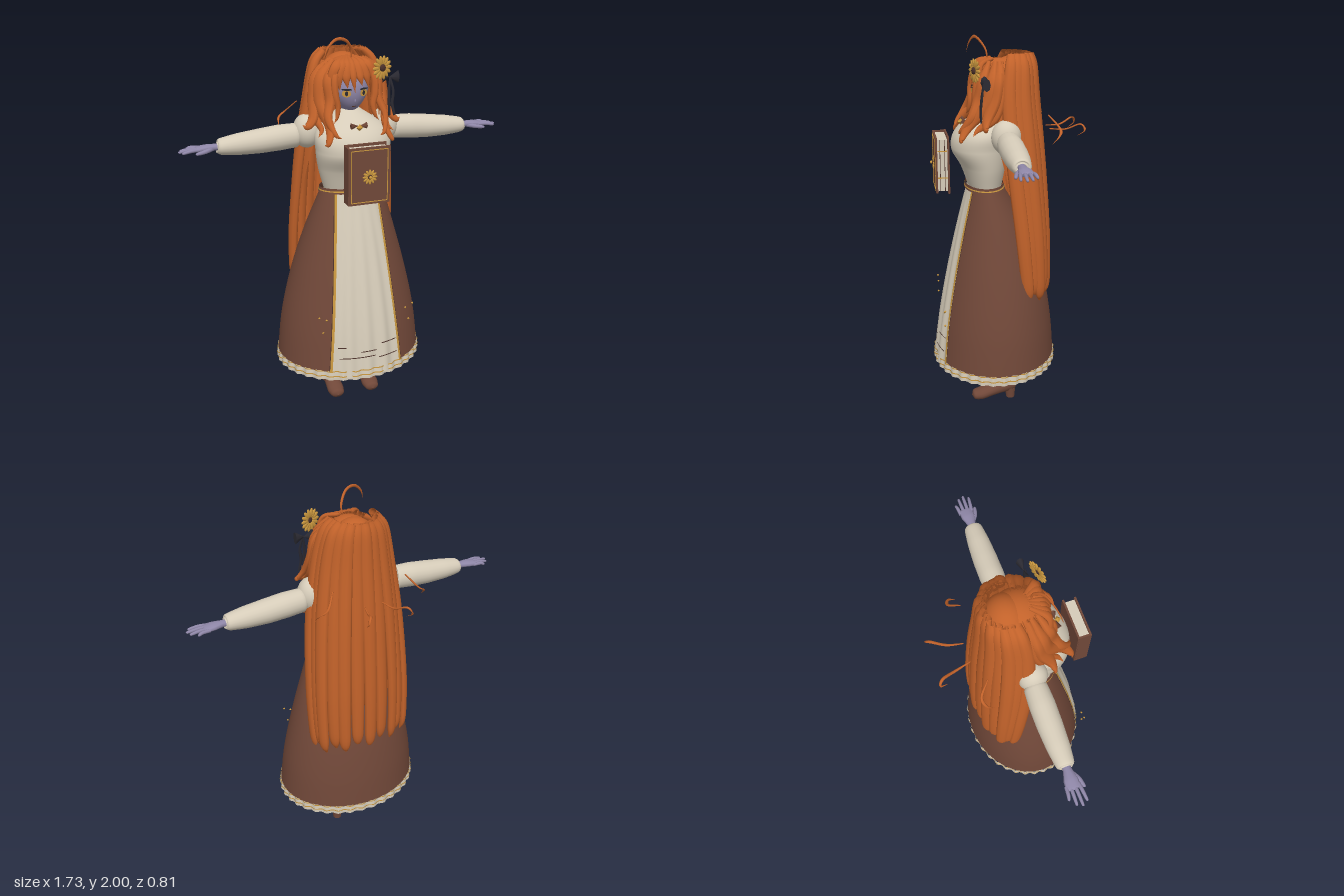
import * as THREE from 'three';
import { ParametricGeometry } from 'three/addons/geometries/ParametricGeometry.js';

const mat = (name, color, side = THREE.DoubleSide) => {
  const m = new THREE.MeshStandardMaterial({ color, side });
  m.name = name;
  return m;
};
const V = (x, y, z) => new THREE.Vector3(x, y, z);
const lerp = THREE.MathUtils.lerp;
// linear lookup in a short list
const pick = (list, t) => {
  const f = t * (list.length - 1), i = Math.min(Math.floor(f), list.length - 2);
  return lerp(list[i], list[i + 1], f - i);
};

// tapered oval tube along a curve; "out" is the direction its flat side faces
function strand(pts, widths, depths, out = V(0, 0, 1), rows = 24, sides = 10) {
  const curve = new THREE.CatmullRomCurve3(pts.map(p => V(...p)), false, 'catmullrom', 0.5);
  const pos = [], index = [];
  for (let i = 0; i <= rows; i++) {
    const t = i / rows, p = curve.getPoint(t), T = curve.getTangent(t);
    const side = out.clone().cross(T).normalize(), up = T.clone().cross(side);
    for (let j = 0; j < sides; j++) {
      const a = j / sides * Math.PI * 2;
      const q = p.clone().addScaledVector(side, Math.cos(a) * pick(widths, t))
        .addScaledVector(up, Math.sin(a) * pick(depths, t));
      pos.push(q.x, q.y, q.z);
      if (i === rows) continue;
      const A = i * sides + j, B = i * sides + (j + 1) % sides;
      index.push(A, B, A + sides, B, B + sides, A + sides);
    }
  }
  const g = new THREE.BufferGeometry();
  g.setAttribute('position', new THREE.Float32BufferAttribute(pos, 3));
  g.setIndex(index);
  g.computeVertexNormals();
  return g;
}

// oval cross-sections [halfWidth, frontZ, backZ] at evenly spaced heights
function ovalBody(y0, y1, rows) {
  const c = new THREE.CatmullRomCurve3(rows.map(r => V(...r)), false, 'catmullrom', 0.5);
  const at = y => c.getPoint(THREE.MathUtils.clamp((y - y0) / (y1 - y0), 0, 1));
  const point = (a, y, off, target) => {
    const r = at(y), zc = (r.y + r.z) / 2, b = (r.y - r.z) / 2;
    return target.set(Math.sin(a) * (r.x + off), y, zc + Math.cos(a) * (b + off));
  };
  return { at, point };
}
const skirt = ovalBody(0.24, 1.24, [[.403, .4, -.27], [.375, .367, -.25], [.32, .322, -.205], [.247, .268, -.12], [.165, .205, .02]]);
const torso = ovalBody(1.24, 1.64, [[.15, .2, .02], [.178, .235, 0], [.195, .285, -.015], [.185, .25, -.02], [.05, .11, .01]]);
// patch of an oval body between two angles (numbers or functions of y) and heights
function patch(body, a0, a1, y0, y1, off, nu = 64, nv = 20) {
  const f = (a, y) => typeof a === 'function' ? a(y) : a;
  return new ParametricGeometry((u, v, target) => {
    const y = lerp(y0, y1, v), a = lerp(f(a0, y), f(a1, y), u);
    body.point(a, y, typeof off === 'function' ? off(a, y) : off, target);
  }, nu, nv);
}
// angle at which the front panel meets the overskirt
const opening = y => Math.asin(lerp(.2, .108, (y - .24)) / skirt.at(y).x);

// back-hair shell: [halfWidth, height, centreZ, depth] from crown to tips
const hairRows = [[.105, 1.915, -.03, .1], [.155, 1.85, -.02, .125], [.195, 1.68, -.01, .15], [.24, 1.38, -.03, .16], [.268, 1.0, -.07, .145], [.268, .72, -.095, .125], [.25, .64, -.1, .11]];
const hairPoint = (a, r, k = 1) => [Math.sin(a) * r[0] * k, r[1], r[2] - Math.cos(a) * r[3] * k];

export function createModel() {
  const root = new THREE.Group();
  const hair = mat('orange hair', 0xc2622a), brown = mat('brown cloth', 0x714839), cream = mat('cream cloth', 0xd6ccb9),
    skin = mat('lavender skin', 0x8f87a8), gold = mat('gold', 0xc8963e), dark = mat('black ribbon', 0x2b2a32),
    stitch = mat('dark brown', 0x4a3029);
  const add = (name, g, m, x = 0, y = 0, z = 0, parent = root) => {
    const mesh = new THREE.Mesh(g, m);
    mesh.name = name;
    mesh.position.set(x, y, z);
    parent.add(mesh);
    return mesh;
  };
  const ball = (name, m, p, r, parent) => {
    const b = add(name, new THREE.SphereGeometry(1, 24, 16), m, ...p, parent);
    b.scale.set(...r);
    return b;
  };
  const box = (name, m, s, p) => add(name, new THREE.BoxGeometry(...s), m, ...p);
  const daisy = (name, p, r, n) => {
    const g = new THREE.Group();
    g.name = name;
    g.position.set(...p);
    for (let i = 0; i < n; i++) {
      const a = i / n * Math.PI * 2;
      const petal = ball('petal', gold, [Math.cos(a) * r * .62, Math.sin(a) * r * .62, 0], [r * .4, r * .17, r * .1], g);
      petal.rotation.z = a;
    }
    ball('flowerCentre', stitch, [0, 0, r * .08], [r * .3, r * .3, r * .16], g);
    root.add(g);
    return g;
  };

  // Skirt: lining, overskirt, pleated panel, ruffled hem and trims
  const TAU = Math.PI * 2;
  add('skirtLining', patch(skirt, 0, TAU, .245, 1.23, -.014), cream);
  add('overskirt', patch(skirt, opening, y => TAU - opening(y), .285, 1.24, 0), brown);
  add('frontPanel', patch(skirt, y => -opening(y), opening, .25, 1.24,
    (a, y) => -.003 + .007 * (1.24 - y) * Math.cos(a * 24)), cream);
  const wave = a => -.001 + .006 * Math.cos(a * 36);
  add('hemRuffle', patch(skirt, 0, TAU, .237, .29, wave, 180, 2), cream);
  for (const y of [.256, .283]) add('hemTrim', patch(skirt, 0, TAU, y, y + .006, a => wave(a) + .003, 180, 1), gold);
  for (const s of [-1, 1]) {
    const edge = d => y => s * (opening(y) + d / skirt.at(y).x);
    const e = s > 0 ? [-.008, .006] : [.006, -.008];
    add('panelTrim', patch(skirt, edge(e[0]), edge(e[1]), .285, 1.235, .005, 2), gold);
    add('panelTrimEdge', patch(skirt, edge(s > 0 ? .006 : .01), edge(s > 0 ? .01 : .006), .285, 1.235, .004, 2), stitch);
    for (const [x, y] of [[.26, .62], [.24, .53], [.22, .6]])
      add('skirtStud', new THREE.OctahedronGeometry(.007), gold, s * x, y, .355);
  }
  for (const [y, a0, a1] of [[.42, -.42, -.3], [.42, .2, .45], [.36, -.4, .1], [.345, .15, .45], [.39, -.1, .12]])
    add('panelStitching', patch(skirt, a0, a1, y, y + .005, .007, 12, 1), stitch);
  add('waistband', patch(skirt, 0, TAU, 1.222, 1.25, .008, 48, 2), brown);
  add('waistTrim', patch(skirt, 0, TAU, 1.232, 1.238, .011, 48, 1), gold);

  // Bodice, neck and collar
  add('bodice', patch(torso, 0, TAU, 1.24, 1.64, 0, 48, 24), cream);
  add('neck', new THREE.CylinderGeometry(.037, .045, .12, 20), skin, 0, 1.625, .06);
  add('choker', new THREE.CylinderGeometry(.045, .052, .022, 20), brown, 0, 1.628, .062);
  add('brooch', new THREE.OctahedronGeometry(.018), gold, 0, 1.572, .232);
  for (const s of [-1, 1]) {
    const c = add('collarBow', new THREE.ConeGeometry(.017, .04, 4), brown, s * .022, 1.578, .22);
    c.rotation.z = s * Math.PI / 2;
  }

  // Arms, hands, legs and shoes
  for (const s of [-1, 1]) {
    const up = V(0, 1, 0), m = pts => pts.map(([x, y, z]) => [s * x, y, z]);
    ball('shoulderPuff', cream, [s * .212, 1.525, .025], [.072, .088, .076]);
    add('sleeve', strand(m([[.25, 1.505, .022], [.27, 1.505, .022], [.36, 1.5, .022], [.46, 1.492, .022], [.57, 1.486, .023], [.66, 1.482, .024], [.675, 1.482, .024]]),
      [.03, .058, .064, .063, .057, .045, .025], [.03, .062, .065, .062, .054, .04, .022], up, 36, 20), cream);
    add('hand', strand(m([[.65, 1.482, .024], [.69, 1.482, .024], [.735, 1.482, .022], [.775, 1.479, .02], [.785, 1.478, .02]]),
      [.02, .022, .035, .036, .01], [.016, .017, .016, .012, .004], up), skin);
    for (let i = 0; i < 4; i++) {
      const z = -.01 + i * .02, len = [.825, .855, .865, .85][i], zt = z + (i - 1.3) * .006;
      add('finger', strand(m([[.76, 1.48, z], [.8, 1.481, lerp(z, zt, .5)], [len - .006, 1.474, zt], [len, 1.472, zt]]),
        [.009, .009, .007, 0], [.009, .009, .007, 0], up, 10, 8), skin);
    }
    add('thumb', strand(m([[.7, 1.478, .035], [.74, 1.472, .06], [.78, 1.468, .072], [.788, 1.467, .073]]),
      [.012, .012, .008, 0], [.012, .011, .008, 0], up, 10, 8), skin);

    add('leg', strand([[s * .1, .75, .04], [s * .104, .4, .02], [s * .105, .22, .008], [s * .105, .08, .004]],
      [.05, .038, .03, .028], [.05, .04, .034, .03]), brown);
    add('shoe', strand(m([[.104, .085, -.048], [.104, .083, -.035], [.104, .075, .02], [.104, .053, .09], [.104, .034, .15], [.104, .028, .19], [.104, .026, .204]]),
      [0, .03, .039, .043, .047, .036, 0], [0, .034, .042, .034, .033, .026, 0], up, 28, 16), brown);
    add('heel', new THREE.CylinderGeometry(.03, .024, .06, 16), brown, s * .104, .03, -.015);
    const strap = add('shoeStrap', new THREE.TorusGeometry(.037, .007, 8, 24), brown, s * .104, .115, .018);
    strap.rotation.x = Math.PI / 2 + .3;
    add('shoeBuckle', new THREE.OctahedronGeometry(.011), stitch, s * .135, .11, .045);
  }

  // Head and face
  const headShape = new THREE.SphereGeometry(1, 32, 24), hp = headShape.attributes.position;
  for (let i = 0; i < hp.count; i++) {
    const y = hp.getY(i);
    if (y < 0) hp.setX(i, hp.getX(i) * (1 + .3 * y));
  }
  headShape.computeVertexNormals();
  add('head', headShape, skin, 0, 1.738, .06).scale.set(.102, .122, .108);
  for (const s of [-1, 1]) {
    const disc = (name, m, w, h, y, z) => {
      const d = add(name, new THREE.CircleGeometry(1, 20), m, s * .045, y, z);
      d.scale.set(w, h, 1);
      d.rotation.y = s * .42;
    };
    disc('eye', gold, .023, .018, 1.73, .163);
    disc('pupil', dark, .008, .012, 1.73, .165);
    disc('lash', dark, .028, .005, 1.75, .165);
  }
  box('mouth', stitch, [.02, .004, .004], [0, 1.66, .146]);
  box('nose', skin, [.008, .012, .012], [0, 1.695, .163]);

  // Scalp, crown and long back locks
  const scalp = add('scalp', new THREE.SphereGeometry(.137, 32, 16, 0, TAU, 0, Math.PI * .43), hair, 0, 1.758, .03);
  scalp.rotation.x = -.35;
  ball('crown', hair, [0, 1.785, -.03], [.118, .12, .108]);
  const shell = new THREE.CatmullRomCurve3(hairRows.map(r => V(r[0], r[2], r[3])), false, 'catmullrom', .5);
  const heights = hairRows.map(r => r[1]);
  add('innerHair', new ParametricGeometry((u, v, target) => {
    const t = lerp(.68, .1, v), r = shell.getPoint(t);
    const span = lerp(1.65, 2.15, Math.min(1, v * 2.5)), a = lerp(span, -span, u);
    target.set(...hairPoint(a, [r.x, pick(heights, t), r.y, r.z], .95));
  }, 40, 24), hair);
  for (let i = 0; i < 13; i++) {
    const a = (i - 6) / 6 * 1.68, lift = (i % 2) * .025;
    const pts = hairRows.map((r, k) => hairPoint(a, [r[0], r[1] + (k > 4 ? lift : 0), r[2], r[3]], i % 2 ? .97 : 1.02));
    add('backLock', strand(pts, [.024, .031, .037, .039, .037, .032, .006], [.018, .024, .024, .024, .023, .02, .005],
      V(Math.sin(a), 0, -Math.cos(a)), 40, 10), hair);
  }
  // Fringe
  for (const [x, y, w] of [[-.115, 1.72, .026], [-.08, 1.745, .025], [-.045, 1.755, .025], [-.012, 1.735, .02], [.025, 1.765, .024], [.062, 1.75, .025], [.1, 1.735, .026]])
    add('fringeLock', strand([[x * .3, 1.892, .07], [x * .75, 1.868, .135], [x, 1.81, .172 - Math.abs(x) * .25], [x * 1.05 + .008, y, .182 - Math.abs(x) * .35]],
      [.012, w, w * .9, 0], [.01, .014, .012, 0], V(x * 4, .4, 1).normalize(), 16, 8), hair);
  // Side locks falling over the shoulders, and stray curls
  for (const s of [-1, 1]) {
    const sideLocks = [
      [[[.08, 1.88, .06], [.155, 1.8, .09], [.168, 1.68, .12], [.145, 1.58, .2], [.165, 1.51, .245], [.185, 1.5, .24]], .036],
      [[[.09, 1.88, .04], [.168, 1.8, .06], [.188, 1.7, .08], [.205, 1.61, .12], [.24, 1.57, .13], [.26, 1.58, .12]], .036],
      [[[.07, 1.88, .09], [.13, 1.8, .13], [.128, 1.7, .155], [.15, 1.62, .19], [.13, 1.55, .24], [.1, 1.53, .255]], .03],
      [[[.05, 1.885, .1], [.1, 1.81, .15], [.104, 1.73, .165], [.092, 1.67, .17], [.1, 1.62, .18], [.12, 1.59, .19]], .018],
      [[[.08, 1.88, .03], [.15, 1.82, .05], [.18, 1.72, .05], [.19, 1.62, .08], [.175, 1.56, .16], [.2, 1.53, .19]], .034]];
    for (const [pts, w] of sideLocks)
      add('sideLock', strand(pts.map(([x, y, z]) => [s * x, y, z]), [w * .4, w, w, w * .8, w * .45, 0],
        [.012, .02, .02, .016, .011, 0], V(s, 0, .9).normalize(), 28, 8), hair);
    for (const pts of [[[.05, 1.53, -.23], [.07, 1.53, -.31], [.1, 1.56, -.38], [.12, 1.53, -.4], [.11, 1.5, -.36]],
      [[.2, 1.63, -.19], [.25, 1.57, -.24], [.29, 1.54, -.23], [.3, 1.5, -.19]]])
      add('strayCurl', strand(pts.map(([x, y, z]) => [s * x, y, z]), [.003, .007, .008, .006, 0], [.003, .004, .004, .003, 0], V(0, 1, .1), 20, 6), hair);
  }
  add('topCurl', strand([[.005, 1.89, .09], [0, 1.94, .1], [-.04, 1.985, .13], [-.095, 1.993, .15], [-.145, 1.955, .17], [-.165, 1.905, .18]],
    [.004, .007, .008, .008, .005, 0], [.004, .005, .005, .004, .003, 0], V(0, 0, 1), 28, 8), hair);

  // Hair flower and ribbon
  daisy('hairFlower', [.138, 1.848, .172], .06, 14).rotation.y = .35;
  for (const s of [-1, 1]) {
    const c = add('ribbonBow', new THREE.ConeGeometry(.032, .05, 8), dark, .197 + s * .022, 1.79, .125);
    c.rotation.z = s * Math.PI / 2;
    c.scale.z = .6;
    add('ribbonTail', strand([[.197, 1.79, .135], [.2 + s * .012, 1.72, .145], [.197 + s * .008, 1.66, .15], [.205 + s * .014, 1.6, .15]],
      [.006, .009, .01, .008], [.004, .004, .004, .003], V(.3, 0, 1), 12, 6), dark);
  }

  // Book held in front of the chest
  box('pages', cream, [.196, .27, .052], [.002, 1.365, .338]);
  box('frontCover', brown, [.216, .29, .01], [0, 1.365, .369]);
  box('backCover', brown, [.22, .295, .01], [.002, 1.365, .307]);
  box('spine', brown, [.01, .29, .06], [-.104, 1.365, .338]);
  for (const z of [.326, .35]) box('pageLine', stitch, [.002, .268, .003], [.1005, 1.365, z]);
  for (const y of [1.3, 1.44]) box('pageClasp', gold, [.003, .006, .05], [.101, y, .338]);
  for (const s of [-1, 1]) {
    box('coverBorder', gold, [.004, .264, .003], [s * .094, 1.365, .375]);
    box('coverBorder', gold, [.188, .004, .003], [0, 1.365 + s * .132, .375]);
  }
  daisy('coverFlower', [0, 1.362, .379], .038, 12);
  ball('coverBoss', gold, [0, 1.362, .388], [.008, .008, .008]);
  return root;
}
